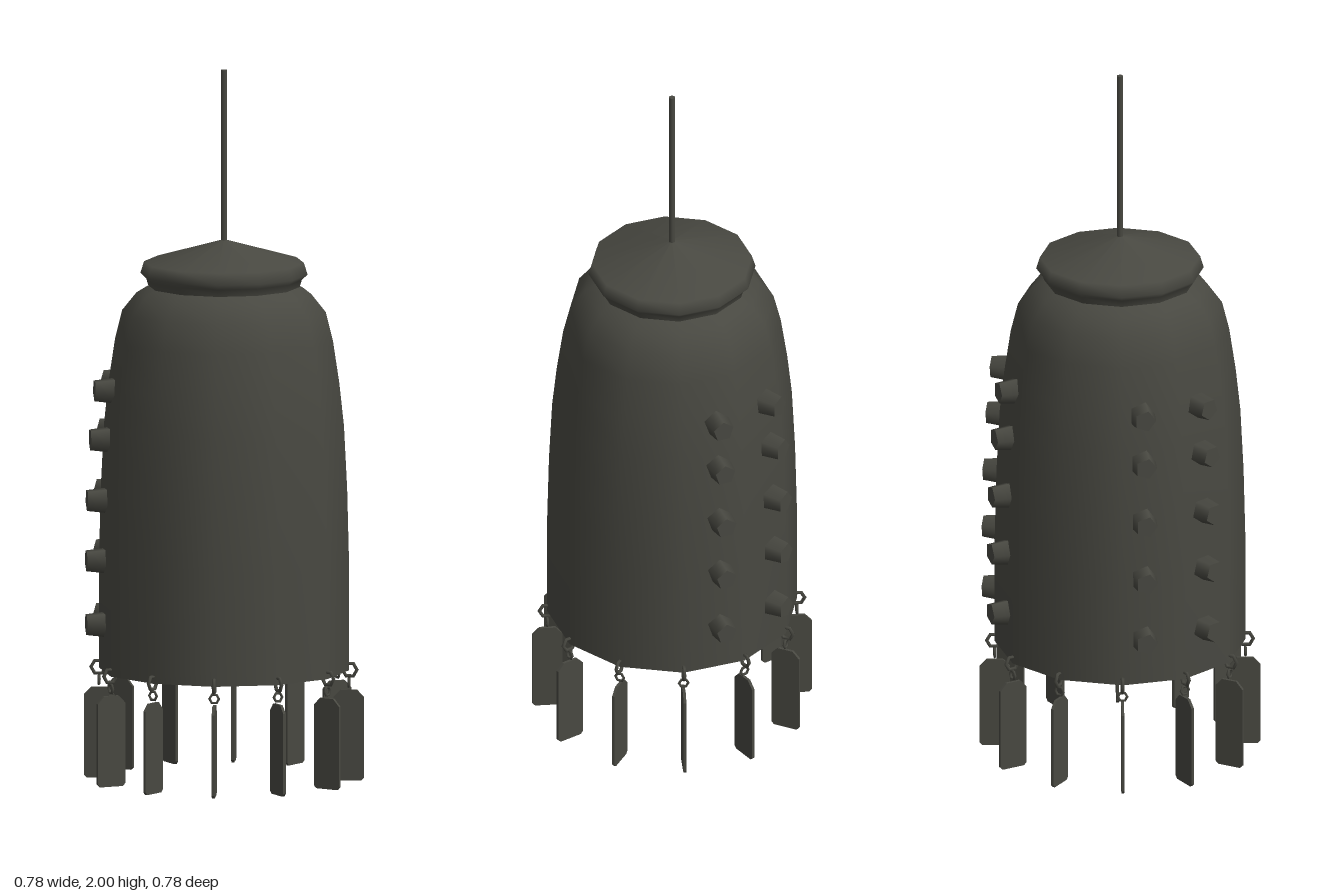
import * as THREE from 'three';

const SIDES = 12;

export function createModel() {
  const model = new THREE.Group();
  const darkIron = new THREE.MeshStandardMaterial({ color: 0x484841, side: THREE.DoubleSide });
  darkIron.name = 'darkIron';

  const add = (parent, geometry, name) => {
    const mesh = new THREE.Mesh(geometry, darkIron);
    mesh.name = name;
    parent.add(mesh);
    return mesh;
  };
  const lathe = (points) => new THREE.LatheGeometry(points.map(([r, y]) => new THREE.Vector2(r, y)), SIDES);

  // Hollow bell body, open at the bottom
  add(model, lathe([
    [0.35, 0.31], [0.35, 0.62], [0.345, 0.82], [0.336, 1.0], [0.323, 1.12],
    [0.305, 1.24], [0.285, 1.32], [0.245, 1.37], [0.212, 1.39],
  ]), 'bellBody');

  // Flared cap with a shallow cone on top
  add(model, lathe([[0.212, 1.39], [0.218, 1.41], [0.234, 1.425], [0.224, 1.458], [0, 1.523]]), 'cap');

  // Hanging rod
  const rod = add(model, new THREE.CylinderGeometry(0.009, 0.009, 0.49, 8), 'hangingRod');
  rod.position.y = 1.755;

  // Two columns of five-sided studs on each side of the back
  const studGeometry = new THREE.CylinderGeometry(0.031, 0.041, 0.08, 5);
  studGeometry.rotateZ(-Math.PI / 2);
  const studRows = [[0.444, 0.348], [0.624, 0.348], [0.794, 0.346], [0.965, 0.337], [1.103, 0.325]];
  const columns = [18, 50, 130, 162];
  columns.forEach((degrees, i) => {
    const column = new THREE.Group();
    column.name = 'studColumn' + (i + 1);
    column.rotation.y = THREE.MathUtils.degToRad(degrees);
    for (const [y, r] of studRows) {
      const stud = add(column, studGeometry, 'stud');
      stud.position.set(r, y, 0);
      // Outer columns point their pentagon sideways, inner ones upward
      stud.rotation.x = i === 0 ? -Math.PI / 2 : i === 3 ? Math.PI / 2 : Math.PI;
    }
    model.add(column);
  });

  // Plate outline with clipped corners
  const outline = [
    [0.307, 0.008], [0.315, 0], [0.384, 0], [0.392, 0.008],
    [0.392, 0.235], [0.372, 0.256], [0.327, 0.256], [0.307, 0.235],
  ];
  const plateShape = new THREE.Shape(outline.map(([x, y]) => new THREE.Vector2(x, y)));
  const plateGeometry = new THREE.ExtrudeGeometry(plateShape, { depth: 0.008, bevelEnabled: false });
  plateGeometry.translate(0, 0, -0.004);
  const rimRing = new THREE.TorusGeometry(0.02, 0.0055, 5, 6);
  const linkRing = new THREE.TorusGeometry(0.013, 0.004, 5, 6);
  linkRing.rotateY(Math.PI / 2);

  // Ring of chimes: rim ring, link and radial plate
  for (let i = 0; i < SIDES; i++) {
    const chime = new THREE.Group();
    chime.name = 'chime' + (i + 1);
    chime.rotation.y = (i / SIDES) * Math.PI * 2;
    add(chime, rimRing, 'rimRing').position.set(0.352, 0.312, 0);
    add(chime, linkRing, 'linkRing').position.set(0.35, 0.276, 0);
    add(chime, plateGeometry, 'plate');
    model.add(chime);
  }
  return model;
}
